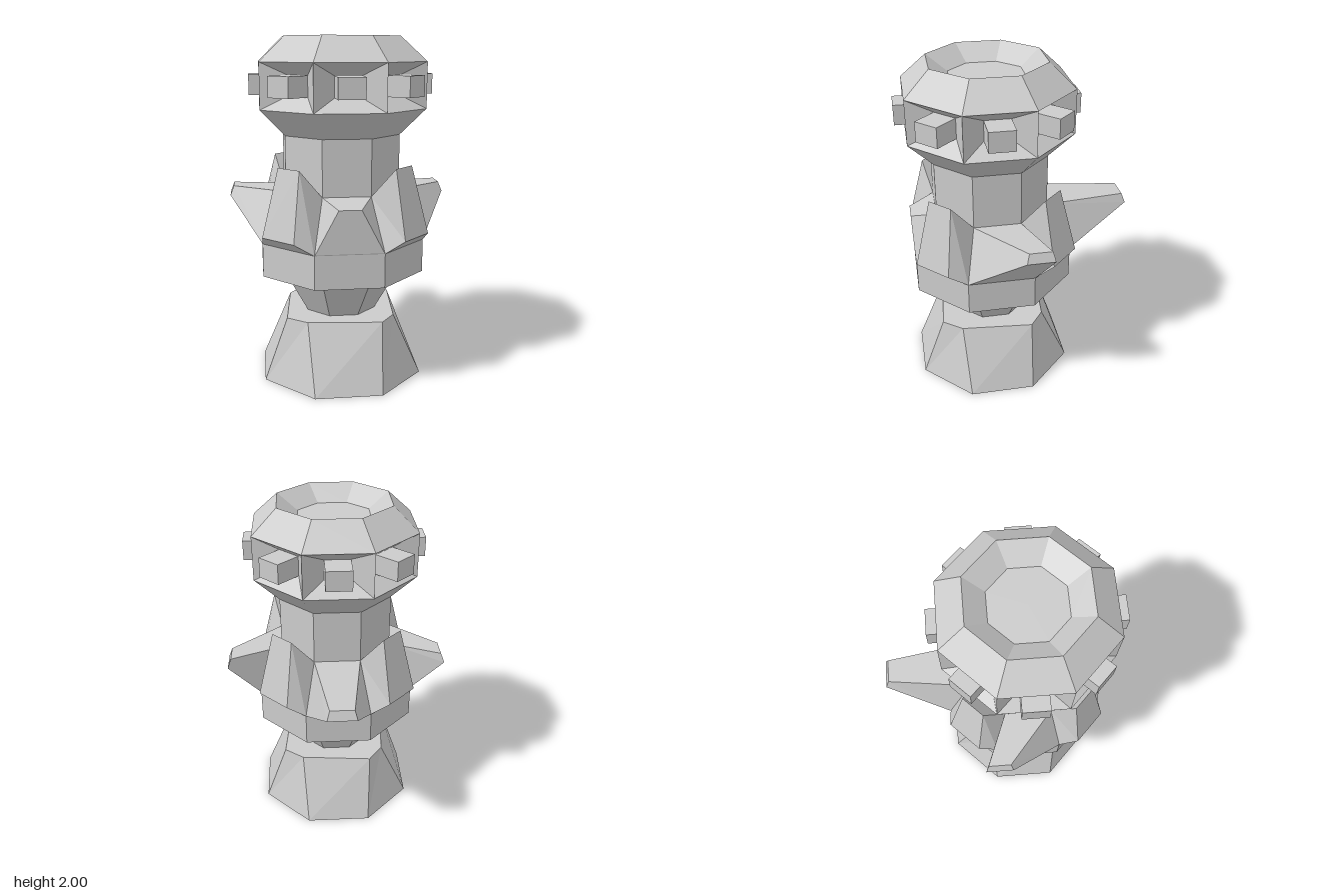
import * as THREE from 'three';

const SIDES = 8;
const STEP = (Math.PI * 2) / SIDES;
const material = new THREE.MeshStandardMaterial({ color: 0xcccccc, flatShading: true });

// Skin a series of closed loops (counter-clockwise from outside the last one) and cap the ends
function loft(name, loops, capStart, capEnd) {
  const pos = [];
  const tri = (a, b, c) => pos.push(...a, ...b, ...c);
  const n = loops[0].length;
  for (let i = 0; i < loops.length - 1; i++) {
    for (let j = 0; j < n; j++) {
      const k = (j + 1) % n;
      const [a, b, c, d] = [loops[i][j], loops[i][k], loops[i + 1][k], loops[i + 1][j]];
      tri(a, b, c);
      tri(a, c, d);
    }
  }
  const first = loops[0], last = loops[loops.length - 1];
  for (let j = 1; j < n - 1; j++) {
    if (capStart) tri(first[0], first[j + 1], first[j]);
    if (capEnd) tri(last[0], last[j], last[j + 1]);
  }
  const geometry = new THREE.BufferGeometry();
  geometry.setAttribute('position', new THREE.Float32BufferAttribute(pos, 3));
  geometry.computeVertexNormals();
  const mesh = new THREE.Mesh(geometry, material);
  mesh.name = name;
  return mesh;
}

// Eight-sided turned part from [radius, y] pairs, going upward
function turned(name, profile) {
  const points = profile.map(([r, y]) => new THREE.Vector2(r, y));
  const mesh = new THREE.Mesh(new THREE.LatheGeometry(points, SIDES), material);
  mesh.name = name;
  return mesh;
}

// Relief growing from one side of the octagon.
// Each ring is [bottom, top]; each edge is [y, distance from axis, left, right]
function relief(name, side, rings) {
  const angle = (side + 0.5) * STEP;
  const s = Math.sin(angle), c = Math.cos(angle);
  const point = (y, r, t) => [r * s + t * c, y, r * c - t * s];
  const loops = rings.map(([b, t]) => [
    point(b[0], b[1], b[2]), point(b[0], b[1], b[3]),
    point(t[0], t[1], t[3]), point(t[0], t[1], t[2]),
  ]);
  return loft(name, loops, false, true);
}

const edge = (y, r, half, shift = 0) => [y, r, shift - half, shift + half];
// Edge of the full octagon side whose corners lie at the given radius
const sideEdge = (y, radius) => edge(y, radius * Math.cos(STEP / 2), radius * Math.sin(STEP / 2));

export function createModel() {
  const model = new THREE.Group();
  model.name = 'tower';

  // Foot: regular octagon below, skewed chamfered square on top
  const footBottom = [], footTop = [];
  for (let q = 0; q < 4; q++) {
    const a = (q * Math.PI) / 2, s = Math.sin(a), c = Math.cos(a);
    const turn = (x, y, z) => [x * c + z * s, y, z * c - x * s];
    const d = 0.505 * Math.SQRT1_2;
    footBottom.push(turn(0, 0, 0.505), turn(d, 0, d));
    footTop.push(turn(-0.09, 0.39, 0.355), turn(0.32, 0.39, 0.228));
  }
  model.add(loft('foot', [footBottom, footTop], true, true));

  // Stem flaring into the belt
  model.add(turned('stemAndBelt', [[0.22, 0.39], [0.35, 0.62], [0.505, 0.645], [0.505, 0.84]]));

  // Collar: four upright panels, three spikes and one stub
  const collarBase = [sideEdge(0.84, 0.505), sideEdge(1.13, 0.355)];
  const panel = [edge(0.905, 0.546, 0.117), edge(1.29, 0.452, 0.078)];
  const shortSpike = (shift) => [edge(1.065, 0.651, 0.08, shift), edge(1.12, 0.63, 0.065, shift)];
  const collar = new THREE.Group();
  collar.name = 'collar';
  [1, 3, 5, 7].forEach((k) => collar.add(relief('collarPanel', k, [collarBase, panel])));
  collar.add(relief('leftSpike', 2, [collarBase, shortSpike(0.187)]));
  collar.add(relief('rightSpike', 6, [collarBase, shortSpike(-0.19)]));
  collar.add(relief('backSpike', 4, [collarBase, [edge(1.065, 0.836, 0.083), edge(1.12, 0.815, 0.068)]]));
  collar.add(relief('frontStub', 0, [collarBase, [edge(0.845, 0.469, 0.19), edge(1.09, 0.477, 0.062)]]));
  model.add(collar);

  // Neck and underside of the head
  model.add(turned('neck', [[0.355, 1.13], [0.355, 1.45], [0.505, 1.6]]));

  // Head band: a sunken bay with a projecting block on every side
  const band = new THREE.Group();
  band.name = 'headBand';
  for (let k = 0; k < SIDES; k++) {
    band.add(relief('bayAndBlock', k, [
      [sideEdge(1.6, 0.505), sideEdge(1.86, 0.505)],
      [edge(1.675, 0.37, 0.073), edge(1.79, 0.37, 0.073)],
      [edge(1.675, 0.525, 0.073), edge(1.79, 0.525, 0.073)],
    ]));
  }
  model.add(band);

  // Sloped crown with a shallow dished top
  model.add(turned('crown', [[0.505, 1.86], [0.35, 2.0], [0.225, 1.91], [0, 1.91]]));

  // The spikes reach out unevenly, so the axis sits off centre
  model.children.forEach((part) => part.position.set(0.07, 0, 0.123));
  return model;
}
